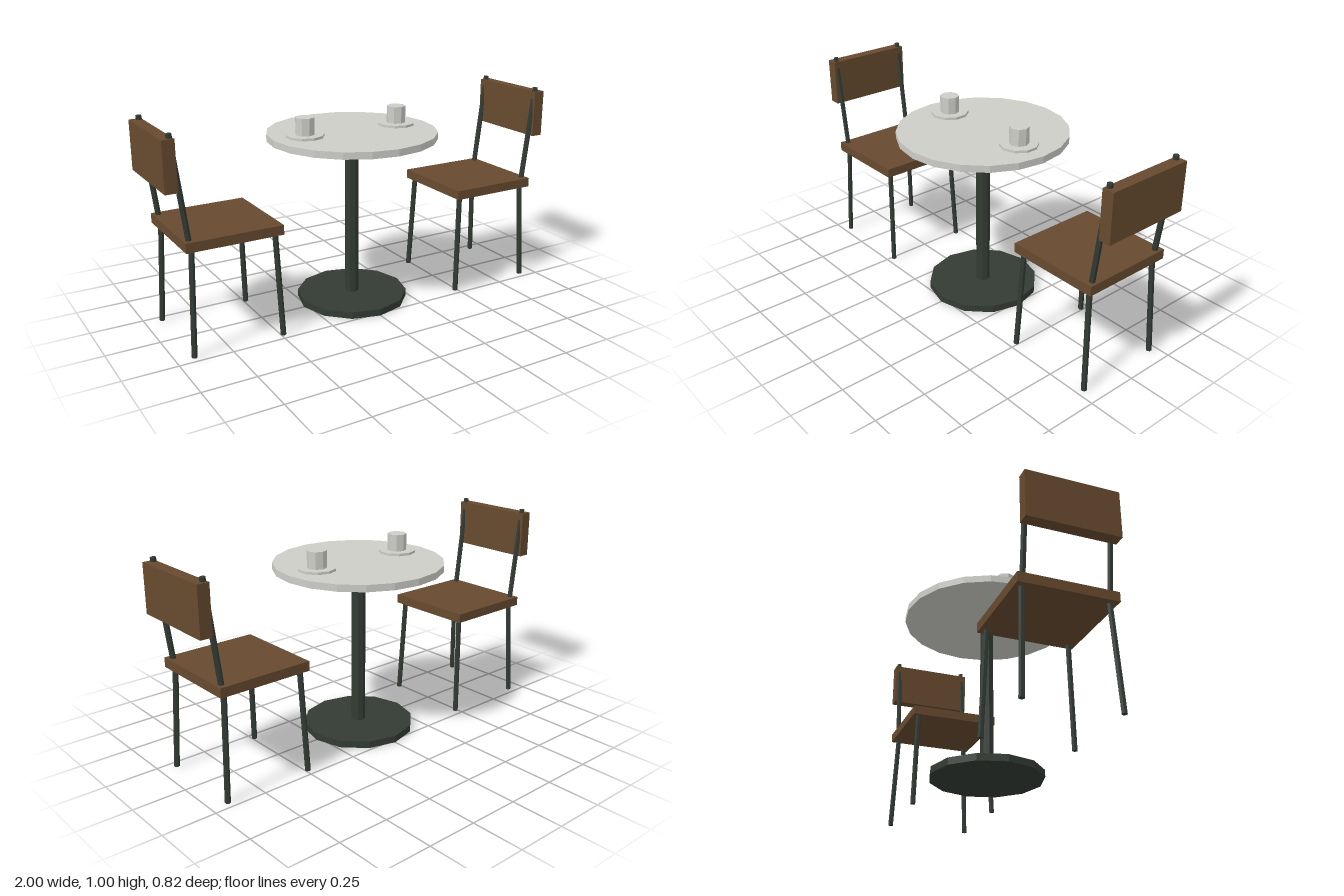
import * as THREE from 'three';

const mat = (name, color) => {
  const m = new THREE.MeshStandardMaterial({ color, flatShading: true });
  m.name = name;
  return m;
};

export function createModel() {
  const wood = mat('brown wood', 0x674a2f);
  const iron = mat('dark iron', 0x333b34);
  const stone = mat('pale stone', 0xcdcdc8);
  const model = new THREE.Group();
  model.name = 'cafeSet';

  const add = (parent, name, geometry, material, x = 0, y = 0, z = 0) => {
    const mesh = new THREE.Mesh(geometry, material);
    mesh.name = name;
    mesh.position.set(x, y, z);
    parent.add(mesh);
    return mesh;
  };
  // upright cylinder from y0 to y1
  const disc = (parent, name, r, y0, y1, sides, material, x = 0) =>
    add(parent, name, new THREE.CylinderGeometry(r, r, y1 - y0, sides), material, x, (y0 + y1) / 2);
  // thin rod between two points
  const rod = (parent, name, from, to) => {
    const a = new THREE.Vector3(...from), b = new THREE.Vector3(...to);
    const dir = b.clone().sub(a);
    const mesh = add(parent, name, new THREE.CylinderGeometry(0.013, 0.013, dir.length(), 6), iron);
    mesh.position.copy(a).add(b).multiplyScalar(0.5);
    mesh.quaternion.setFromUnitVectors(new THREE.Vector3(0, 1, 0), dir.normalize());
  };

  // pedestal table
  const table = new THREE.Group();
  table.name = 'table';
  disc(table, 'tableBase', 0.272, 0, 0.034, 12, iron);
  disc(table, 'tablePost', 0.034, 0.034, 0.822, 8, iron);
  disc(table, 'tableTop', 0.408, 0.822, 0.855, 20, stone);
  model.add(table);

  // cups on saucers
  for (const x of [-0.25, 0.25]) {
    const setting = new THREE.Group();
    setting.name = 'cupAndSaucer';
    disc(setting, 'saucer', 0.09, 0.855, 0.867, 10, stone, x);
    disc(setting, 'cup', 0.046, 0.867, 0.948, 8, stone, x);
    model.add(setting);
  }

  // two chairs facing the table
  for (const side of [1, -1]) {
    const chair = new THREE.Group();
    chair.name = side > 0 ? 'leftChair' : 'rightChair';
    add(chair, 'seat', new THREE.BoxGeometry(0.452, 0.045, 0.452), wood, 0.704, 0.5125, 0);
    add(chair, 'backrest', new THREE.BoxGeometry(0.056, 0.227, 0.432), wood, 0.972, 0.867, 0);
    for (const s of [1, -1]) {
      rod(chair, 'frontLeg', [0.489, 0.001, s * 0.213], [0.508, 0.5, s * 0.194]);
      rod(chair, 'backLeg', [0.918, 0.001, s * 0.213], [0.896, 0.5, s * 0.194]);
      rod(chair, 'backUpright', [0.904, 0.52, s * 0.194], [0.962, 1.0, s * 0.194]);
    }
    chair.rotation.y = side > 0 ? 0 : Math.PI;
    model.add(chair);
  }
  return model;
}
